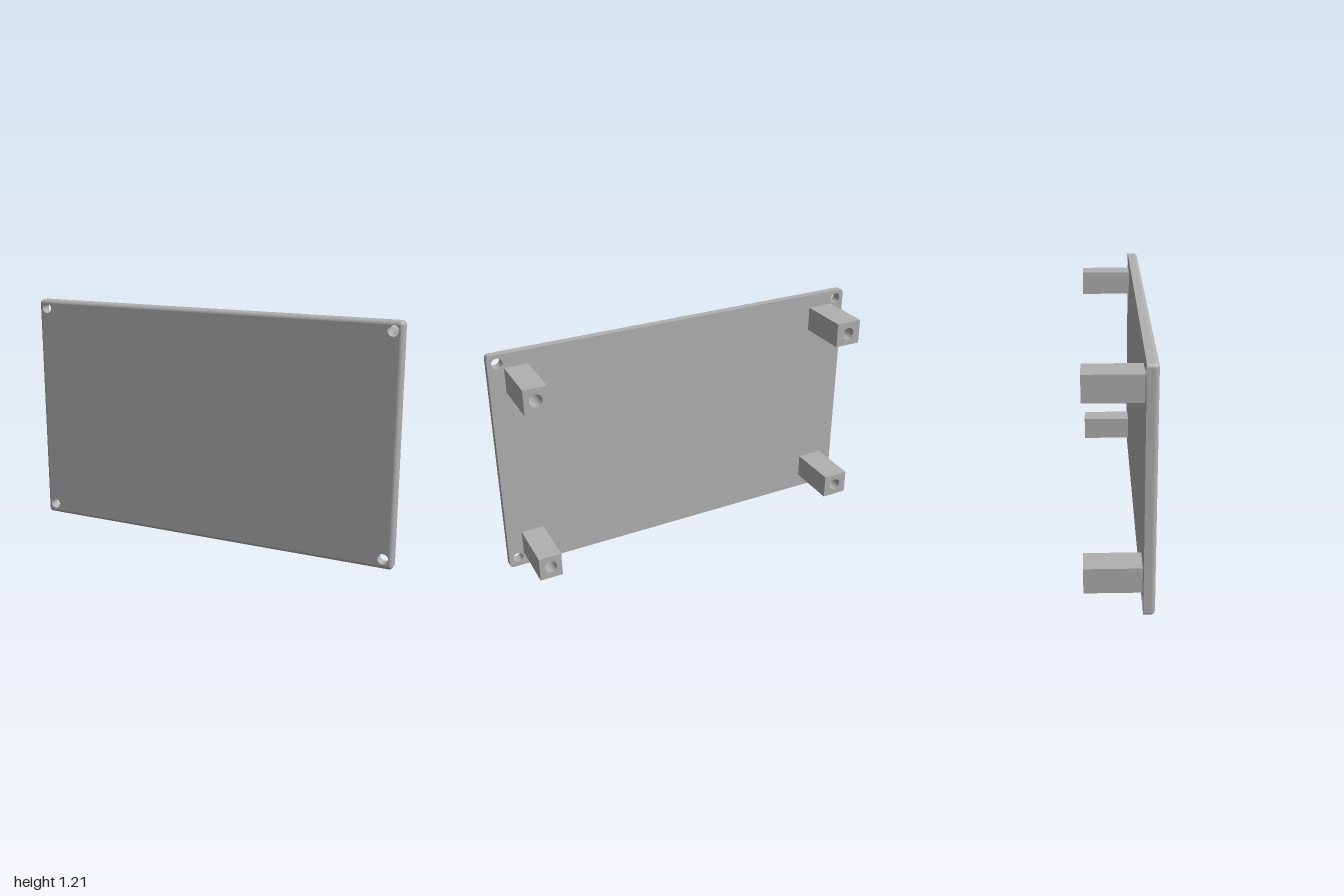
import * as THREE from 'three';

const W = 2, H = 1.21, BACK = 0.108, FRONT = 0.162, REAR = -0.162;
const R = 0.02;            // corner and front edge rounding
const HOLE = 0.027, BORE = 0.032;

const grey = new THREE.MeshStandardMaterial({ color: 0xb0b0b0, side: THREE.DoubleSide });
grey.name = 'grey';

// Rounded outline inset by d; each entry is [x, y, outward angle]
function outline(d) {
  const pts = [], steps = 6;
  const corners = [[1, 1], [-1, 1], [-1, -1], [1, -1]];
  corners.forEach(([sx, sy], q) => {
    for (let i = 0; i <= steps; i++) {
      const a = (q + i / steps) * Math.PI / 2;
      pts.push([
        sx * (W / 2 - R) + (R - d) * Math.cos(a),
        H / 2 + sy * (H / 2 - R) + (R - d) * Math.sin(a), a]);
    }
  });
  return pts;
}

// Side wall that rolls over into the front face
function rimGeometry() {
  const pos = [], nor = [], idx = [], steps = 6;
  const rings = [[0, BACK, 0]];
  for (let k = 0; k <= steps; k++) {
    const t = k / steps * Math.PI / 2;
    rings.push([R * (1 - Math.cos(t)), FRONT - R + R * Math.sin(t), t]);
  }
  const n = outline(0).length;
  rings.forEach(([d, z, t], k) => {
    outline(d).forEach(([x, y, a], i) => {
      pos.push(x, y, z);
      nor.push(Math.cos(a) * Math.cos(t), Math.sin(a) * Math.cos(t), Math.sin(t));
      if (k < rings.length - 1) {
        const j = (i + 1) % n, p = k * n, q = p + n;
        idx.push(p + i, p + j, q + i, p + j, q + j, q + i);
      }
    });
  });
  const g = new THREE.BufferGeometry();
  g.setAttribute('position', new THREE.Float32BufferAttribute(pos, 3));
  g.setAttribute('normal', new THREE.Float32BufferAttribute(nor, 3));
  g.setIndex(idx);
  return g;
}

function circlePath(x, y, r) {
  return new THREE.Path().absarc(x, y, r, 0, Math.PI * 2, true);
}

export function createModel() {
  const model = new THREE.Group();
  model.name = 'mountingPlate';
  const add = (parent, name, geometry) => {
    const mesh = new THREE.Mesh(geometry, grey);
    mesh.name = name;
    parent.add(mesh);
    return mesh;
  };

  // Plate with four screw holes
  const plate = new THREE.Group();
  plate.name = 'plate';
  model.add(plate);
  const holes = [];
  for (const x of [-0.952, 0.952]) for (const y of [0.053, H - 0.045]) holes.push([x, y]);

  const face = (d, z) => {
    const pts = d === R
      ? [[1, 1], [-1, 1], [-1, -1], [1, -1]].map(([sx, sy]) =>
        new THREE.Vector2(sx * (W / 2 - R), H / 2 + sy * (H / 2 - R)))
      : outline(d).map(([x, y]) => new THREE.Vector2(x, y));
    const shape = new THREE.Shape(pts);
    holes.forEach(([x, y]) => shape.holes.push(circlePath(x, y, HOLE)));
    return new THREE.ShapeGeometry(shape, 16).translate(0, 0, z);
  };
  add(plate, 'plateFront', face(R, FRONT));
  // turned about the vertical axis so that it faces backwards
  add(plate, 'plateBack', face(0, -BACK).rotateY(Math.PI));
  add(plate, 'plateRim', rimGeometry());
  holes.forEach(([x, y]) => {
    const wall = new THREE.CylinderGeometry(HOLE, HOLE, FRONT - BACK, 32, 1, true).rotateX(Math.PI / 2);
    add(plate, 'screwHoleWall', wall.translate(x, y, (FRONT + BACK) / 2));
  });

  // Four standoffs with blind bores: the right pair is wider than the left
  for (const [x, w, side] of [[-0.855, 0.139, 'right'], [0.861, 0.118, 'left']]) {
    for (const [y, level] of [[0.141, 'Lower'], [1.074, 'Upper']]) {
      const leg = new THREE.Group();
      leg.name = `${side}${level}Standoff`;
      leg.position.set(x, y, REAR);
      model.add(leg);
      const h = 0.128;
      const shape = new THREE.Shape([[-1, -1], [1, -1], [1, 1], [-1, 1]].map(([sx, sy]) =>
        new THREE.Vector2(sx * w / 2, sy * h / 2)));
      shape.holes.push(circlePath(0, 0, BORE));
      add(leg, 'standoffBlock', new THREE.ExtrudeGeometry(shape,
        { depth: BACK - REAR, bevelEnabled: false, curveSegments: 16 }));
      add(leg, 'boreFloor', new THREE.CircleGeometry(BORE, 32).rotateY(Math.PI).translate(0, 0, 0.2));
    }
  }
  return model;
}
